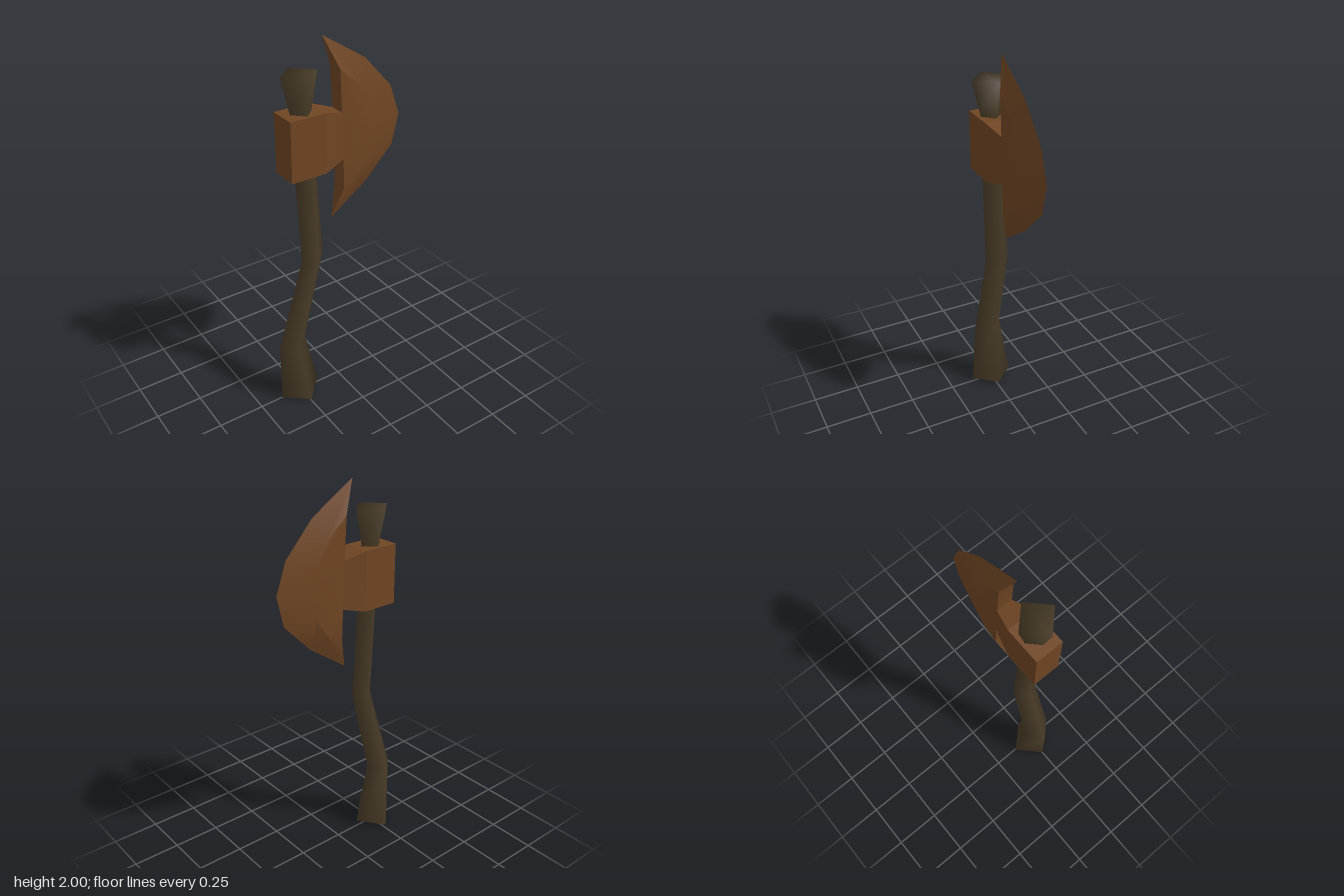
import * as THREE from 'three';
import { toCreasedNormals } from 'three/addons/utils/BufferGeometryUtils.js';

// Closed solid through rings of equal point count, wound counter-clockwise about the direction of travel
function loft(rings) {
  const n = rings[0].length, last = (rings.length - 1) * n, index = [];
  for (let r = 0; r < rings.length - 1; r++) {
    for (let i = 0; i < n; i++) {
      const a = r * n + i, b = r * n + (i + 1) % n;
      index.push(a, b, b + n, a, b + n, a + n);
    }
  }
  for (let i = 1; i < n - 1; i++) {
    index.push(0, i + 1, i, last, last + i, last + i + 1);
  }
  const g = new THREE.BufferGeometry();
  g.setAttribute('position', new THREE.Float32BufferAttribute(rings.flat(2), 3));
  g.setIndex(index);
  g.computeVertexNormals();
  return g;
}

export function createModel() {
  const group = new THREE.Group();
  const wood = new THREE.MeshStandardMaterial({ color: 0x4a3d28 });
  wood.name = 'darkWood';
  const metal = new THREE.MeshStandardMaterial({ color: 0x704624 });
  metal.name = 'rustyMetal';

  const add = (name, geometry, material) => {
    const mesh = new THREE.Mesh(geometry, material);
    mesh.name = name;
    group.add(mesh);
  };

  // Crooked four-sided handle: left x, y, right x, y, half depth
  const handleRings = [
    [-0.37, 0.0, -0.14, 0.03, 0.118],
    [-0.37, 0.35, -0.215, 0.365, 0.075],
    [-0.22, 0.85, -0.095, 0.86, 0.065],
    [-0.265, 1.67, -0.145, 1.67, 0.058],
    [-0.307, 1.845, -0.111, 1.845, 0.098],
  ].map(([xl, yl, xr, yr, d]) => {
    const x = (xl + xr) / 2, y = (yl + yr) / 2;
    return [[xl, yl, 0], [x, y, d], [xr, yr, 0], [x, y, -d]];
  });
  add('handle', loft(handleRings), wood);

  // Socket block narrowing towards the blade: bottom x, y, top x, y, half depth
  const socketRings = [
    [-0.305, 1.35, -0.305, 1.66, 0.073],
    [-0.115, 1.35, -0.115, 1.66, 0.073],
    [0.005, 1.38, -0.005, 1.625, 0.042],
  ].map(([xb, yb, xt, yt, d]) => [[xb, yb, d], [xb, yb, -d], [xt, yt, -d], [xt, yt, d]]);
  add('socket', toCreasedNormals(loft(socketRings), 0.2), metal);

  // Blade from lower tip to upper tip: inner edge, ridge, cutting edge, half thickness
  const bladeRings = [
    [-0.04, 1.05, -0.04, 1.05, -0.04, 1.05, 0],
    [0.01, 1.22, 0.09, 1.25, 0.175, 1.2, 0.042],
    [0.005, 1.38, 0.165, 1.36, 0.33, 1.36, 0.042],
    [0, 1.5, 0.185, 1.5, 0.367, 1.52, 0.042],
    [-0.005, 1.625, 0.165, 1.61, 0.31, 1.68, 0.042],
    [-0.015, 1.84, 0.09, 1.75, 0.155, 1.85, 0.042],
    [-0.085, 2, -0.085, 2, -0.085, 2, 0],
  ].map(([xi, yi, xr, yr, xe, ye, d]) => [
    [xi, yi, d], [xr, yr, d], [xe, ye, 0], [xr, yr, -d], [xi, yi, -d],
  ]);
  add('blade', toCreasedNormals(loft(bladeRings), 0.4), metal);

  return group;
}
